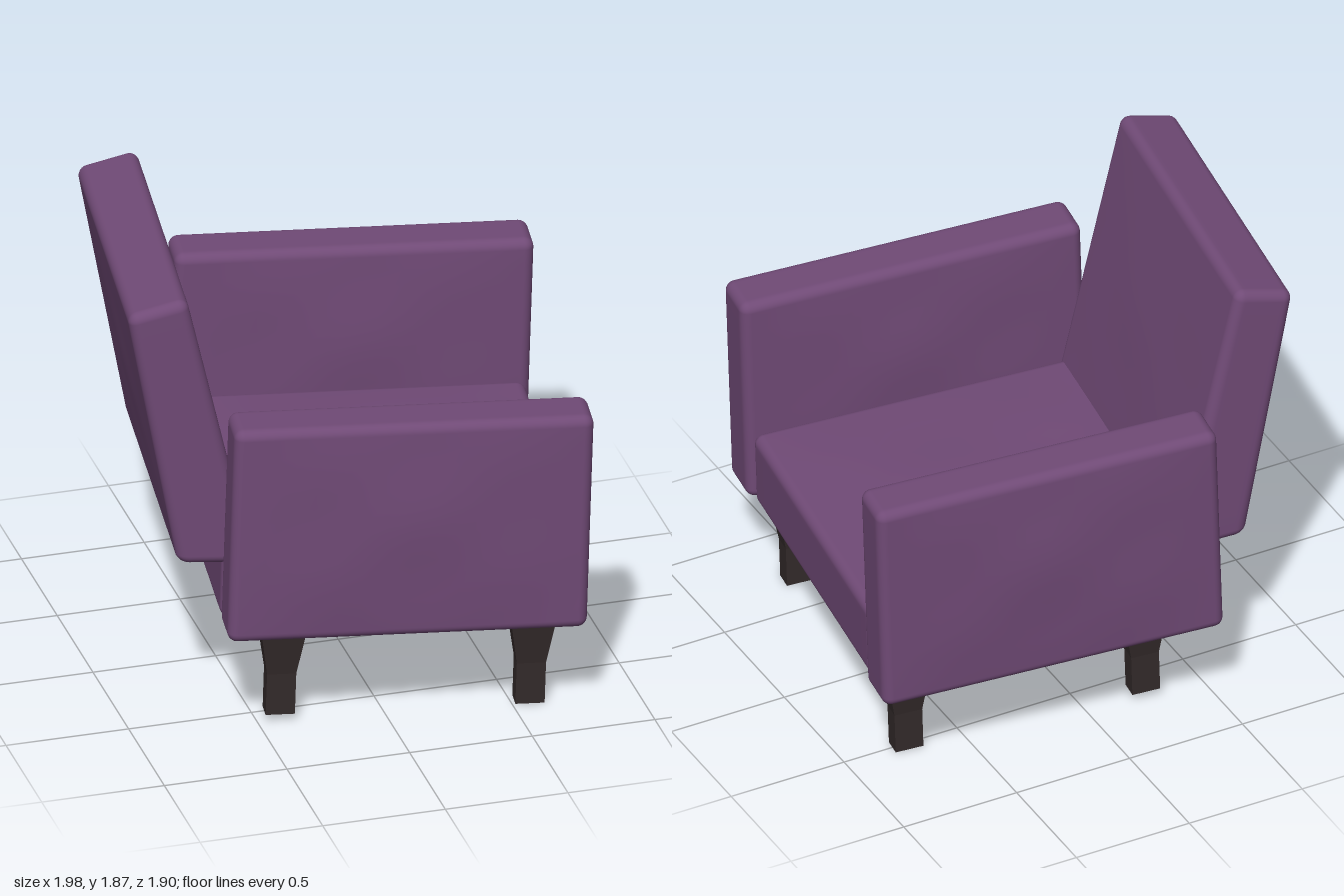
import * as THREE from 'three';
import { mergeVertices } from 'three/addons/utils/BufferGeometryUtils.js';

const material = (name, color) => {
  const m = new THREE.MeshStandardMaterial({ color });
  m.name = name;
  return m;
};

// Box with rounded edges whose large faces swell softly; bulge = [x, y, z] swell per axis
function cushionGeometry(size, radius, bulge) {
  const N = 22, E = 4; // segments per side, of which E at each end form the rounding
  const geo = new THREE.BoxGeometry(2, 2, 2, N, N, N);
  geo.deleteAttribute('uv');
  geo.deleteAttribute('normal');
  const half = size.map((s) => s / 2);
  const p = geo.attributes.position;
  for (let i = 0; i < p.count; i++) {
    const t = [p.getX(i), p.getY(i), p.getZ(i)];
    const inner = [], off = new THREE.Vector3();
    t.forEach((v, a) => {
      const k = Math.round(((v + 1) / 2) * N);
      const flat = half[a] - radius;
      const d = Math.max(E - k, k - (N - E), 0) / E;
      inner[a] = d > 0 ? Math.sign(v) * flat : (flat * (2 * k - N)) / (N - 2 * E);
      off.setComponent(a, Math.sign(v) * Math.tan((d * Math.PI) / 4));
    });
    off.normalize().multiplyScalar(radius);
    const n = inner.map((v, a) => v / (half[a] - radius));
    const out = inner.map((v, a) => {
      const b = n[(a + 1) % 3], c = n[(a + 2) % 3];
      const wave = 0.85 + 0.3 * Math.sin(5 * b + 1.3) * Math.cos(4 * c - 0.6);
      const swell = Math.abs(n[a]) > 0.999 ? Math.sign(v) * bulge[a] * (1 - b * b) * (1 - c * c) * wave : 0;
      return v + off.getComponent(a) + swell;
    });
    p.setXYZ(i, ...out);
  }
  const smooth = mergeVertices(geo, 1e-5);
  smooth.computeVertexNormals();
  return smooth;
}

// Square leg: flared upper half, straight lower half
function legGeometry() {
  const rings = [[0.41, 0.092, 0.066], [0.2, 0.058, 0.039], [0.022, 0.058, 0.038]];
  const pos = [], index = [];
  for (const [y, a, b] of rings) pos.push(-a, y, -b, -a, y, b, a, y, b, a, y, -b);
  for (let r = 0; r < 2; r++) {
    for (let s = 0; s < 4; s++) {
      const a = r * 4 + s, b = r * 4 + ((s + 1) % 4);
      index.push(a, a + 4, b, b, a + 4, b + 4);
    }
  }
  index.push(0, 1, 2, 0, 2, 3, 8, 10, 9, 8, 11, 10);
  const geo = new THREE.BufferGeometry();
  geo.setAttribute('position', new THREE.Float32BufferAttribute(pos, 3));
  geo.setIndex(index);
  const flat = geo.toNonIndexed();
  flat.computeVertexNormals();
  return flat;
}

export function createModel() {
  const fabric = material('purple fabric', 0x704a76);
  const wood = material('dark wood', 0x332a2a);
  const lining = material('black lining', 0x1c1a17);

  // The chair looks along +x, turned slightly and tipped forward a little
  const model = new THREE.Group();
  model.name = 'armchair';
  const chair = new THREE.Group();
  chair.name = 'chair';
  chair.rotation.set(0, -0.128, -0.031, 'YXZ');
  model.add(chair);

  const add = (name, geo, mat, x, y, z) => {
    const mesh = new THREE.Mesh(geo, mat);
    mesh.name = name;
    mesh.position.set(x, y, z);
    chair.add(mesh);
    return mesh;
  };

  // Armrests
  const arm = cushionGeometry([1.425, 0.93, 0.215], 0.04, [0, 0, 0.02]);
  add('sitterRightArm', arm, fabric, 0.132, 0.9, 0.735);
  add('sitterLeftArm', arm, fabric, 0.132, 0.9, -0.785);

  // Seat cushion
  add('seat', cushionGeometry([1.4, 0.325, 1.3], 0.04, [0, 0.025, 0]), fabric, 0.122, 0.5975, -0.025);

  // Backrest: a cushion warped to a leaning profile, thicker at the bottom
  const back = cushionGeometry([0.25, 1.13, 1.325], 0.04, [0.008, 0, 0]);
  const corner = { bl: [-0.755, 0.69], br: [-0.45, 0.68], tl: [-0.99, 1.79], tr: [-0.755, 1.855] };
  const p = back.attributes.position;
  for (let i = 0; i < p.count; i++) {
    const s = p.getX(i) / 0.25 + 0.5, t = p.getY(i) / 1.13 + 0.5;
    const mix = (k) =>
      (1 - t) * ((1 - s) * corner.bl[k] + s * corner.br[k]) + t * ((1 - s) * corner.tl[k] + s * corner.tr[k]);
    p.setXY(i, mix(0), mix(1));
  }
  back.computeVertexNormals();
  add('backrest', back, fabric, 0, 0, -0.02);

  // Underside panel
  add('basePanel', new THREE.BoxGeometry(1.22, 0.045, 1.54), lining, 0.135, 0.4235, -0.045);

  // Legs
  const leg = legGeometry();
  for (const [end, x] of [['front', 0.657], ['back', -0.333]]) {
    for (const [side, z] of [['Right', 0.617], ['Left', -0.595]]) {
      add(`${end}${side}Leg`, leg, wood, x, 0, z);
    }
  }
  return model;
}
